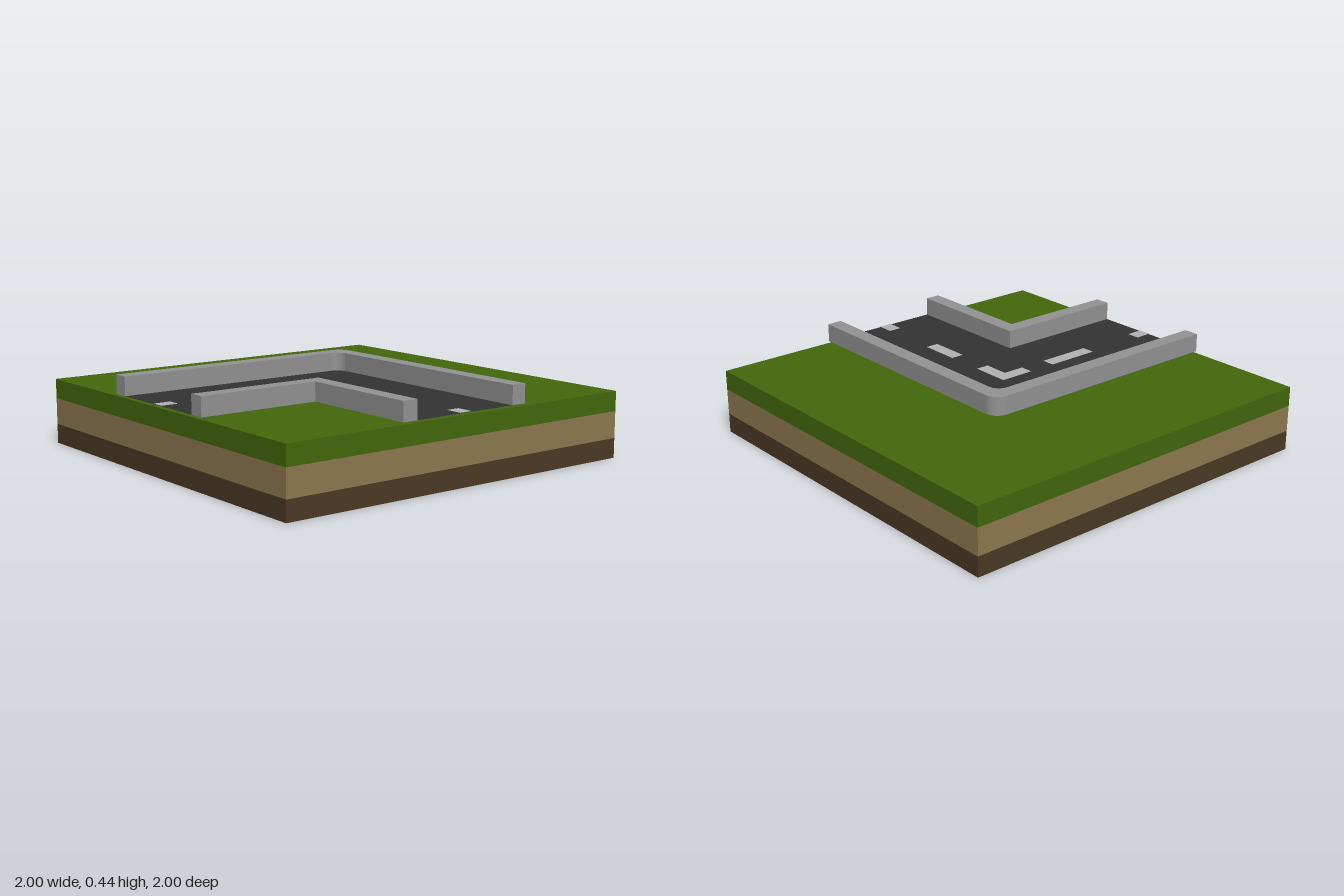
import * as THREE from 'three';

const mat = (color) => new THREE.MeshStandardMaterial({ color, flatShading: true });
const GRASS = mat(0x43680c), SOIL = mat(0x8e7950), DEEP_SOIL = mat(0x4b3925);
const ASPHALT = mat(0x333333), KERB = mat(0x939393), PAINT = mat(0xb2b2b2);
ASPHALT.side = PAINT.side = THREE.DoubleSide;

const ROAD_Y = 0.345, KERB_TOP = 0.44, GRASS_Y = 0.335;
const IN = 0.29, OUT = 0.37;

function add(group, name, geometry, material, y = 0) {
  const mesh = new THREE.Mesh(geometry, material);
  mesh.name = name;
  mesh.position.y = y;
  group.add(mesh);
  return mesh;
}

// Shapes are drawn in (x, z) and laid flat
const outline = (points) => new THREE.Shape(points.map(([x, z]) => new THREE.Vector2(x, z)));
const flat = (shape) => new THREE.ShapeGeometry(shape, 6).rotateX(Math.PI / 2);
const slab = (shape, depth) =>
  new THREE.ExtrudeGeometry(shape, { depth, bevelEnabled: false, curveSegments: 6 }).rotateX(Math.PI / 2);

export function createModel() {
  const model = new THREE.Group();

  // Layered ground: four-sided bands closed by grass-coloured faces
  const layers = [
    ['deepSoil', 0, 0.1, DEEP_SOIL],
    ['soil', 0.1, 0.235, SOIL],
    ['grassEdge', 0.235, GRASS_Y, GRASS],
  ];
  for (const [name, y0, y1, material] of layers) {
    const band = new THREE.CylinderGeometry(Math.SQRT2, Math.SQRT2, y1 - y0, 4, 1, true, Math.PI / 4);
    add(model, name, band, material, (y0 + y1) / 2);
  }
  add(model, 'grassTop', new THREE.PlaneGeometry(2, 2).rotateX(-Math.PI / 2), GRASS, GRASS_Y);
  add(model, 'groundUnderside', new THREE.PlaneGeometry(2, 2).rotateX(Math.PI / 2), GRASS, 0);

  // L-shaped road surface, just above the grass
  const road = outline([[-1, -0.33], [0.33, -0.33], [0.33, 1], [-0.33, 1], [-0.33, 0.33], [-1, 0.33]]);
  add(model, 'road', flat(road), ASPHALT, ROAD_Y);

  // Kerb inside the bend, with a sharp corner
  const kerbHeight = KERB_TOP - ROAD_Y;
  const inner = outline([[-1, IN], [-IN, IN], [-IN, 1], [-OUT, 1], [-OUT, OUT], [-1, OUT]]);
  add(model, 'innerKerb', slab(inner, kerbHeight), KERB, KERB_TOP);

  // Kerb outside the bend, rounded on both sides of its corner
  const outer = new THREE.Shape();
  outer.moveTo(-1, -0.375);
  outer.lineTo(OUT - 0.07, -OUT);
  outer.absarc(OUT - 0.07, -OUT + 0.07, 0.07, -Math.PI / 2, 0, false);
  outer.lineTo(OUT, 1);
  outer.lineTo(IN, 1);
  outer.lineTo(IN, -IN + 0.06);
  outer.absarc(IN - 0.06, -IN + 0.06, 0.06, 0, -Math.PI / 2, true);
  outer.lineTo(-1, -IN - 0.005);
  add(model, 'outerKerb', slab(outer, kerbHeight), KERB, KERB_TOP);

  // Painted centre line: dashes along both arms and an elbow at the bend
  const paint = new THREE.Group();
  paint.name = 'centreLine';
  model.add(paint);
  const W = 0.035;
  const dashes = [
    [-1, -W, -0.91, W], [-0.58, -W, -0.295, W],
    [-W, 0.37, W, 0.585], [-W, 0.91, W, 1],
  ];
  for (const [x0, z0, x1, z1] of dashes)
    add(paint, 'dash', flat(outline([[x0, z0], [x1, z0], [x1, z1], [x0, z1]])), PAINT, ROAD_Y + 0.003);
  const elbow = outline([[-0.15, -W], [W, -W], [W, 0.17], [-W, 0.17], [-W, W], [-0.15, W]]);
  add(paint, 'elbow', flat(elbow), PAINT, ROAD_Y + 0.003);

  return model;
}
